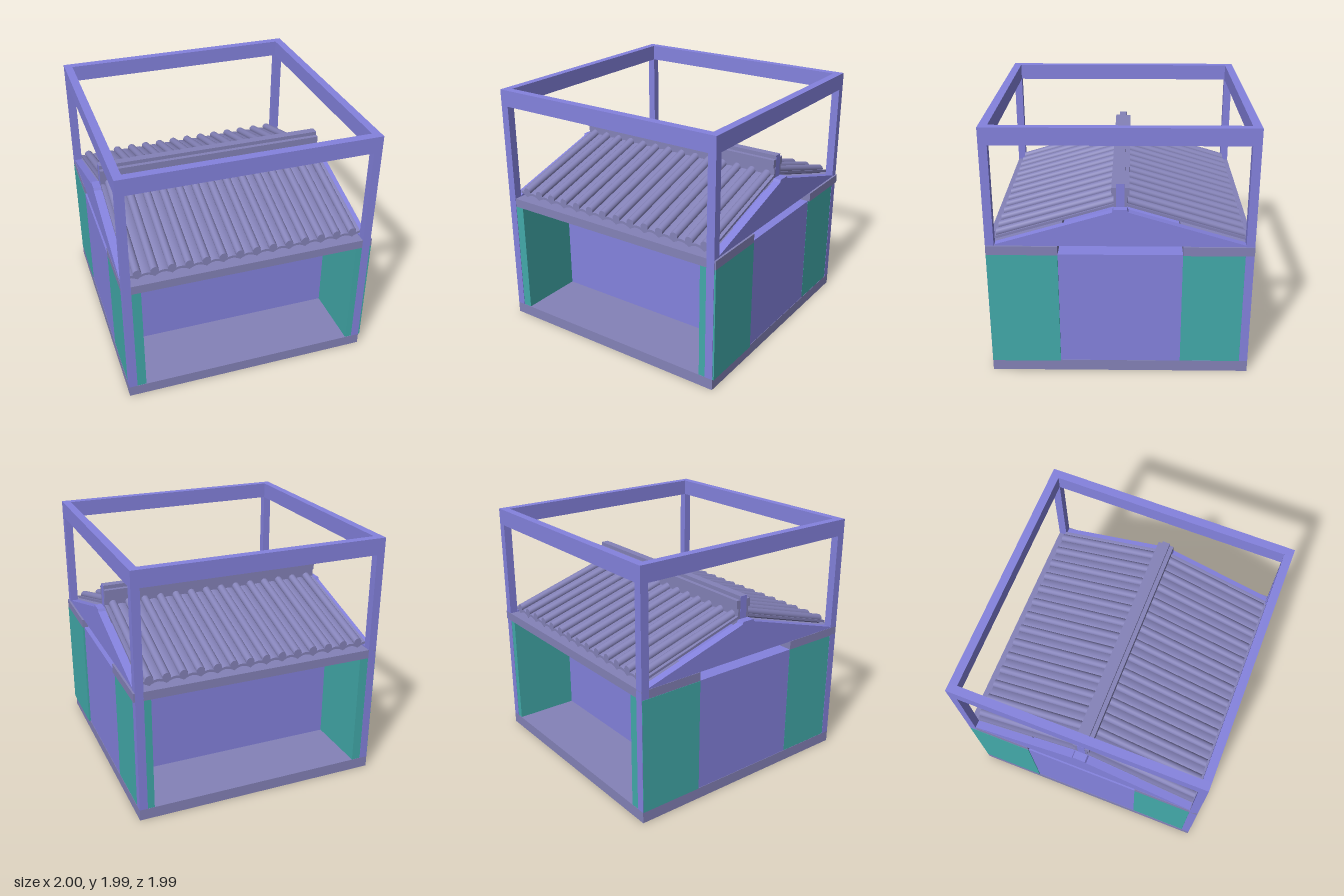
import * as THREE from 'three';
import { toCreasedNormals } from 'three/addons/utils/BufferGeometryUtils.js';

const mat = (color) => new THREE.MeshStandardMaterial({ color, side: THREE.DoubleSide });

export function createModel() {
  const model = new THREE.Group();
  const blue = mat(0x8482de), stone = mat(0x8482b8), teal = mat(0x42aaaa);

  const add = (name, geometry, material, parent = model) => {
    const mesh = new THREE.Mesh(geometry, material);
    mesh.name = name;
    parent.add(mesh);
    return mesh;
  };
  // Box given by its lower and upper limits on each axis
  const box = (name, material, [x0, x1], [y0, y1], [z0, z1], parent) =>
    add(name, new THREE.BoxGeometry(x1 - x0, y1 - y0, z1 - z0), material, parent)
      .position.set((x0 + x1) / 2, (y0 + y1) / 2, (z0 + z1) / 2);

  // Outer limits of the frame
  const L = -1, R = 0.985, B = -0.993, F = 1, T = 0.065;

  // Base slab and solid middle room
  box('base', stone, [L, R], [0, 0.09], [B, F]);
  box('room', blue, [L + 0.003, R - 0.003], [0.09, 1.01], [-0.465, 0.465]);

  // Open frame: corner posts and top beams
  const frame = new THREE.Group();
  frame.name = 'frame';
  model.add(frame);
  for (const x of [[L, L + T], [R - T, R]]) {
    for (const z of [[B, B + T], [F - T, F]]) box('post', blue, x, [0.09, 1.86], z, frame);
    box('sideBeam', blue, x, [1.86, 1.99], [B, F], frame);
  }
  for (const z of [[B, B + T], [F - T, F]]) box('crossBeam', blue, [L + T, R - T], [1.86, 1.99], z, frame);

  // Porch side panels and porch ceilings
  const wall = [0.09, 1.01];
  box('porchPanel', teal, [0.865, 0.998], wall, [0.465, F - 0.003]);
  box('porchPanel', teal, [0.865, R - 0.002], wall, [B + 0.002, -0.465]);
  box('porchPanel', teal, [L + 0.002, -0.862], wall, [0.465, F - 0.003]);
  box('porchPanel', teal, [L - 0.002, -0.862], wall, [B + 0.002, -0.465]);
  for (const z of [[0.465, F - 0.002], [B, -0.465]]) box('porchCeiling', stone, [L, 0.998], [1.01, 1.08], z);

  // Roof, centred on its own axis
  const roof = new THREE.Group();
  roof.name = 'roof';
  roof.position.x = -0.006;
  model.add(roof);
  const count = 14, pitch = 0.1327, half = count * pitch / 2;
  const inner = 0.045, outer = 0.93, slope = 0.3;

  // Lean a geometry down along z at the roof slope
  const lean = (geometry) => {
    const p = geometry.attributes.position;
    for (let i = 0; i < p.count; i++) p.setY(i, p.getY(i) - slope * p.getZ(i));
    geometry.computeVertexNormals();
    return toCreasedNormals(geometry, 0.7);
  };

  // Scalloped sheet: arches that meet in a point under every round tile
  const steps = 10, upper = [], lower = [];
  for (let i = 0; i <= count * steps; i++) {
    const u = (i % steps) / steps - 0.5;
    const y = 1.409 - 0.025 * (1 - 2 * Math.abs(u)) ** 2;
    upper.push(new THREE.Vector2(-half + i * pitch / steps, y));
    lower.unshift(new THREE.Vector2(-half + i * pitch / steps, y - 0.02));
  }
  const sheet = new THREE.ExtrudeGeometry(new THREE.Shape([...upper, ...lower]),
    { depth: outer - inner, bevelEnabled: false }).translate(0, 0, inner);
  const sheetGeometry = lean(sheet);
  const tileGeometry = lean(new THREE.CylinderGeometry(0.033, 0.033, outer - inner, 16)
    .rotateX(Math.PI / 2).translate(0, 1.411, (inner + outer) / 2));

  for (const side of [0, 1]) {
    const face = new THREE.Group();
    face.name = side ? 'backRoofSlope' : 'frontRoofSlope';
    face.rotation.y = side * Math.PI;
    roof.add(face);
    add('panTiles', sheetGeometry, stone, face);
    for (let i = 0; i < count; i++) add('roundTile', tileGeometry, stone, face).position.x = -half + (i + 0.5) * pitch;
  }

  // Stepped ridge
  const ridge = [[0.05, 1.37, 1.455], [0.066, 1.455, 1.52], [0.032, 1.52, 1.55]];
  for (const [w, y0, y1] of ridge) box('ridge', stone, [-half, half], [y0, y1], [-w, w], roof);
  // End plates of the ridge
  for (const s of [-1, 1]) {
    const x = [s * half - 0.001, s * half + 0.001];
    box('ridgeEnd', blue, x, [1.37, 1.55], [-0.031, 0.031], roof);
  }

  // Gable end walls
  const gable = new THREE.Shape([[-0.93, 1.08], [0.93, 1.08], [0.93, 1.09], [0.06, 1.35],
    [0.05, 1.37], [-0.05, 1.37], [-0.06, 1.35], [-0.93, 1.09]].map(([x, y]) => new THREE.Vector2(x, y)));
  for (const x of [L + 0.003, R - T]) {
    add('gable', new THREE.ExtrudeGeometry(gable, { depth: T - 0.003, bevelEnabled: false })
      .rotateY(Math.PI / 2), blue).position.x = x;
  }
  return model;
}
